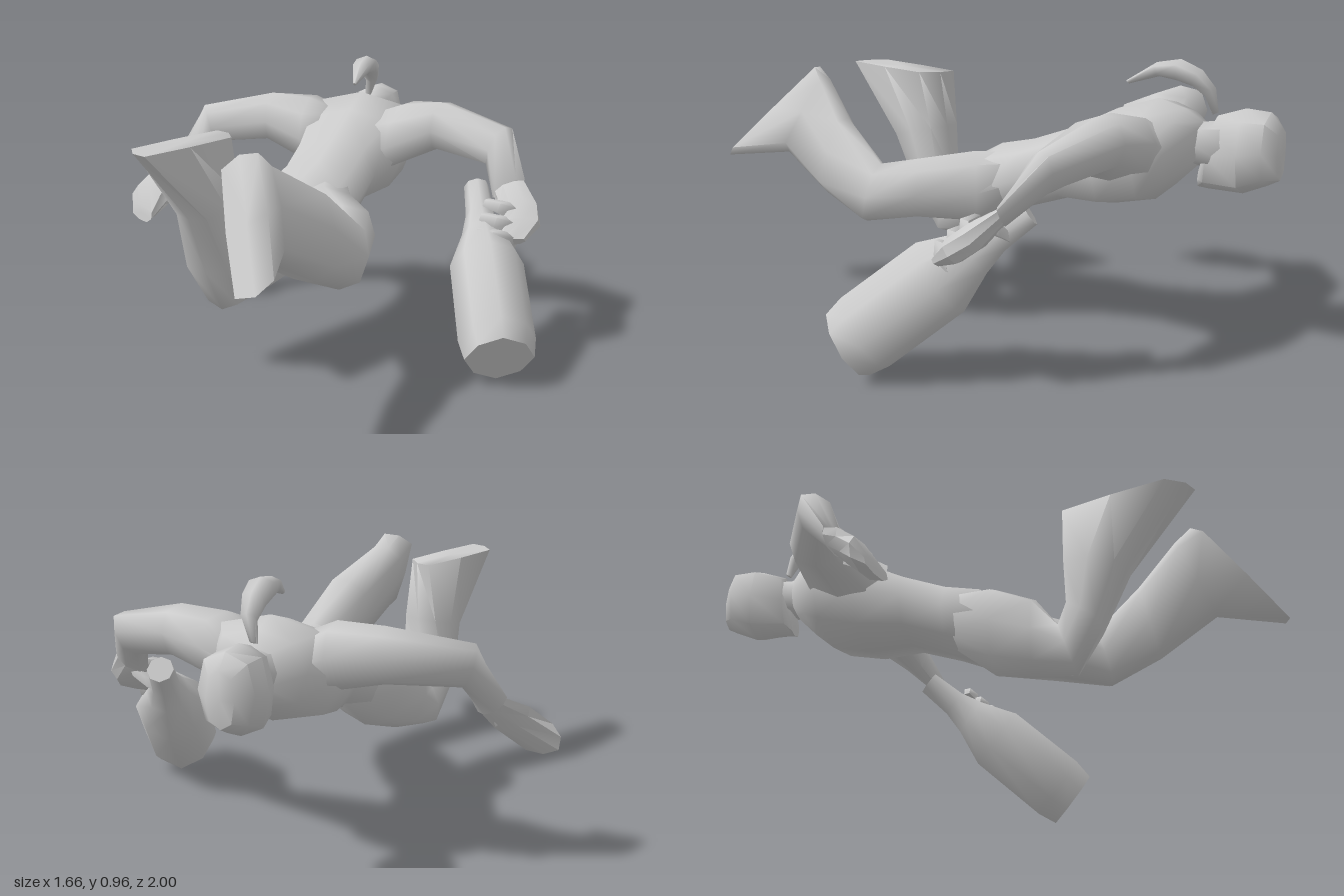
import * as THREE from 'three';
import { toCreasedNormals } from 'three/addons/utils/BufferGeometryUtils.js';

const material = new THREE.MeshStandardMaterial({ color: 0xcccccc, side: THREE.DoubleSide });
const V = (p) => new THREE.Vector3(...p);

// Closed skin over rings. Each ring is [edge a, edge b, half-thickness v, squareness].
function loft(name, rings, { sides = 8, crease = 1.5 } = {}) {
  const pos = [], idx = [];
  const power = (t, p) => (Math.abs(t) < 1e-6 ? 0 : Math.sign(t) * Math.pow(Math.abs(t), p));
  const centres = rings.map(([a, b]) => V(a).lerp(V(b), 0.5));
  rings.forEach(([a, b, v, p = 0.8], r) => {
    const u = V(b).sub(V(a)).multiplyScalar(0.5);
    for (let i = 0; i < sides; i++) {
      const t = (i / sides) * Math.PI * 2;
      pos.push(...centres[r].clone()
        .addScaledVector(u, power(Math.cos(t), p))
        .addScaledVector(V(v), power(Math.sin(t), p)));
    }
  });
  const last = (rings.length - 1) * sides, c0 = pos.length / 3;
  pos.push(...centres[0], ...centres[rings.length - 1]);
  for (let i = 0; i < sides; i++) {
    const j = (i + 1) % sides;
    for (let r = 0; r < last; r += sides) {
      idx.push(r + i, r + j, r + sides + i, r + j, r + sides + j, r + sides + i);
    }
    idx.push(c0, j, i, c0 + 1, last + i, last + j);
  }
  // Turn the skin outward: a closed shape must have positive volume
  let volume = 0;
  const at = (k) => new THREE.Vector3().fromArray(pos, k * 3).sub(centres[0]);
  for (let k = 0; k < idx.length; k += 3) volume += at(idx[k]).dot(at(idx[k + 1]).cross(at(idx[k + 2])));
  if (volume < 0) idx.reverse();
  const g = new THREE.BufferGeometry();
  g.setAttribute('position', new THREE.Float32BufferAttribute(pos, 3));
  g.setIndex(idx);
  const mesh = new THREE.Mesh(toCreasedNormals(g, crease), material);
  mesh.name = name;
  return mesh;
}

// Upright ring across the body at depth z
const slice = (z, x0, x1, y0, y1, lean = 0) => {
  const x = (x0 + x1) / 2;
  return [[x, y1, z], [x, y0, z + lean], [(x1 - x0) / 2, 0, 0]];
};

// Small tapering finger along a few points
const finger = (name, points, w) => loft(name, points.map(([x, y, z], i) => {
  const s = w * (1 - 0.25 * i);
  return [[x, y - s, z - s], [x, y + s, z + s], [s * 0.6, s, -s]];
}), { sides: 4 });

export function createModel() {
  const model = new THREE.Group();
  model.name = 'figureWithBottle';

  // Torso, from neck to seat
  model.add(loft('torso', [
    slice(-0.75, -0.1, 0.03, 0.64, 0.77),
    slice(-0.69, -0.18, 0.13, 0.56, 0.81, 0.02),
    slice(-0.6, -0.25, 0.2, 0.5, 0.835),
    slice(-0.46, -0.23, 0.19, 0.47, 0.79),
    slice(-0.3, -0.195, 0.14, 0.47, 0.71),
    slice(-0.15, -0.185, 0.14, 0.42, 0.655),
    slice(-0.02, -0.2, 0.14, 0.36, 0.625),
    slice(0.06, -0.12, 0.08, 0.4, 0.58),
  ]));

  // Neck and head, face turned down
  model.add(loft('neck', [
    slice(-0.66, -0.13, 0.06, 0.6, 0.8),
    slice(-0.75, -0.11, 0.03, 0.63, 0.77),
    slice(-0.85, -0.11, 0.01, 0.62, 0.78),
  ]));
  model.add(loft('head', [
    slice(-0.745, -0.08, -0.01, 0.555, 0.62),
    slice(-0.79, -0.12, 0.01, 0.55, 0.79, 0.03),
    slice(-0.88, -0.16, 0.03, 0.545, 0.82),
    slice(-0.96, -0.155, 0.025, 0.58, 0.815),
    slice(-0.998, -0.11, -0.02, 0.6, 0.77),
  ], { crease: 1.0 }));

  // Arched ponytail, pointed at both ends
  model.add(loft('ponytail', [
    [[-0.06, 0.8, -0.79], [-0.06, 0.79, -0.77], [0.012, 0, 0]],
    [[-0.04, 0.88, -0.785], [-0.04, 0.85, -0.75], [0.025, 0, 0]],
    [[-0.035, 0.935, -0.74], [-0.035, 0.88, -0.71], [0.038, 0, 0]],
    [[-0.03, 0.965, -0.67], [-0.03, 0.895, -0.66], [0.045, 0, 0]],
    [[-0.025, 0.95, -0.59], [-0.025, 0.905, -0.6], [0.036, 0, 0]],
    [[-0.015, 0.885, -0.49], [-0.015, 0.875, -0.5], [0.006, 0, 0]],
  ], { sides: 6 }));

  // Arms: leading edge, trailing edge, half thickness; roots sit inside the chest
  model.add(loft('rightArm', [
    [[-0.07, 0.67, -0.66], [-0.08, 0.65, -0.42], [0, 0.1, 0]],
    [[-0.22, 0.73, -0.655], [-0.19, 0.68, -0.37], [0, 0.11, 0]],
    [[-0.38, 0.74, -0.635], [-0.36, 0.72, -0.44], [0, 0.09, 0]],
    [[-0.63, 0.71, -0.5], [-0.57, 0.69, -0.39], [-0.02, 0.07, 0]],
    [[-0.69, 0.57, -0.38], [-0.61, 0.55, -0.34], [-0.025, 0.035, 0]],
  ]));
  model.add(loft('leftArm', [
    [[0.03, 0.67, -0.67], [0.03, 0.65, -0.42], [0, 0.1, 0]],
    [[0.18, 0.73, -0.68], [0.15, 0.67, -0.36], [0, 0.11, 0]],
    [[0.33, 0.75, -0.645], [0.3, 0.73, -0.44], [0, 0.085, 0]],
    [[0.58, 0.7, -0.53], [0.52, 0.68, -0.43], [0.02, 0.07, 0]],
    [[0.66, 0.57, -0.4], [0.57, 0.55, -0.36], [0.025, 0.035, 0]],
  ]));

  // Hands
  model.add(loft('rightHand', [
    [[-0.69, 0.57, -0.38], [-0.61, 0.55, -0.34], [-0.02, 0.03, 0]],
    [[-0.75, 0.52, -0.31], [-0.64, 0.49, -0.28], [-0.02, 0.045, 0]],
    [[-0.835, 0.44, -0.23], [-0.69, 0.41, -0.2], [0.015, 0.055, 0]],
    [[-0.81, 0.4, -0.19], [-0.71, 0.37, -0.15], [0.015, 0.025, 0]],
  ], { crease: 0.6 }));
  model.add(finger('rightThumb', [[-0.65, 0.5, -0.3], [-0.635, 0.47, -0.24], [-0.65, 0.44, -0.185]], 0.022));
  model.add(loft('leftHand', [
    [[0.66, 0.57, -0.4], [0.57, 0.55, -0.36], [0.02, 0.03, 0]],
    [[0.73, 0.5, -0.34], [0.6, 0.52, -0.31], [0.02, 0.035, 0.02]],
    [[0.755, 0.46, -0.28], [0.62, 0.46, -0.24], [0.015, 0.035, 0.02]],
    [[0.72, 0.42, -0.21], [0.62, 0.41, -0.19], [0.01, 0.015, 0.01]],
  ], { crease: 0.6 }));
  for (let i = 0; i < 3; i++) {
    const y = 0.51 - i * 0.04, z = -0.3 + i * 0.045;
    model.add(finger('leftFinger', [[0.68, y - 0.02, z], [0.62, y + 0.01, z + 0.04], [0.56, y + 0.02, z + 0.03]], 0.024));
  }
  model.add(finger('leftThumb', [[0.62, 0.53, -0.35], [0.56, 0.49, -0.36], [0.51, 0.46, -0.34]], 0.025));

  // Legs: calf edge, shin edge, half width; flared ends form the feet
  model.add(loft('leftLeg', [
    [[0.0, 0.61, -0.16], [0.02, 0.45, -0.14], [0.1, 0, -0.01]],
    [[0.07, 0.61, 0.03], [0.06, 0.36, 0.03], [0.1, 0, -0.06]],
    [[0.19, 0.59, 0.18], [0.18, 0.38, 0.2], [0.105, 0, -0.06]],
    [[0.25, 0.57, 0.3], [0.25, 0.36, 0.36], [0.082, 0, -0.02]],
    [[0.18, 0.7, 0.48], [0.24, 0.44, 0.54], [0.08, 0.03, -0.01], 0.6],
    [[0.08, 0.81, 0.63], [0.18, 0.55, 0.75], [0.06, 0.025, -0.01], 0.5],
    [[0.06, 0.85, 0.69], [0.24, 0.525, 0.98], [0.05, 0.025, -0.035], 0.3],
  ]));
  model.add(loft('rightLeg', [
    [[-0.06, 0.61, -0.16], [-0.06, 0.43, -0.14], [0.11, 0, 0]],
    [[-0.125, 0.6, 0.03], [-0.075, 0.3, 0.02], [0.115, 0, 0]],
    [[-0.17, 0.52, 0.18], [-0.135, 0.25, 0.17], [0.095, 0, 0]],
    [[-0.185, 0.41, 0.26], [-0.185, 0.225, 0.32], [0.072, 0, 0]],
    [[-0.19, 0.46, 0.29], [-0.2, 0.38, 0.41], [0.09, 0, 0], 0.6],
    [[-0.17, 0.63, 0.29], [-0.21, 0.58, 0.5], [0.075, 0, 0.02], 0.5],
    [[-0.155, 0.83, 0.31], [-0.28, 0.83, 0.715], [0.052, 0, 0.05], 0.3],
  ]));

  // Bottle with a squarish body, slanting down from the left hand: [radius, distance along]
  const top = V([0.49, 0.55, -0.405]), base = V([0.72, 0.105, 0.11]);
  const across = V([0.886, 0, -0.464]), down = V([-0.205, -0.82, -0.533]);
  const profile = [[0.045, 0], [0.052, 0.18], [0.075, 0.3], [0.13, 0.48], [0.132, 0.9], [0.118, 1]];
  model.add(loft('bottle', profile.map(([r, t]) => {
    const c = top.clone().lerp(base, t);
    return [
      c.clone().addScaledVector(across, -r).toArray(),
      c.clone().addScaledVector(across, r).toArray(),
      down.clone().multiplyScalar(r).toArray(),
      t < 0.4 ? 1 : 1.15,
    ];
  }), { crease: 1.0 }));

  return model;
}
